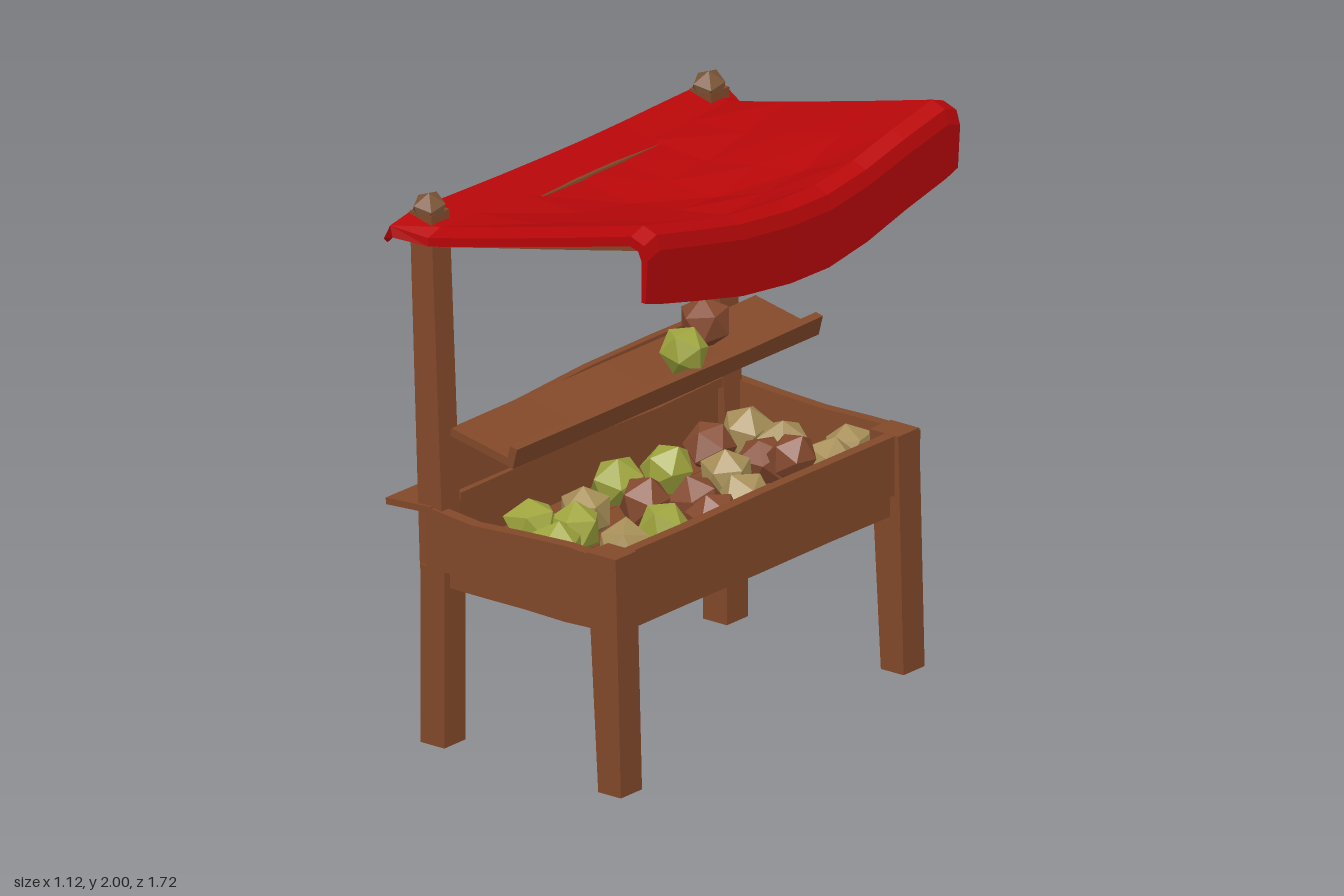
import * as THREE from 'three';

const material = (name, color) => {
  const m = new THREE.MeshStandardMaterial({ color, flatShading: true });
  m.name = name;
  return m;
};

// Repeatable noise in -1..1 so matching corners move together
const noise = (a, b, c) => {
  const s = Math.sin(a * 12.99 + b * 78.23 + c * 37.72) * 43758.55;
  return 2 * (s - Math.floor(s)) - 1;
};

export function createModel() {
  const group = new THREE.Group();
  const wood = material('wood', 0x83492a);
  const knobWood = material('knobWood', 0x7c5537);
  const cloth = material('redCloth', 0xb80709);
  const green = material('greenProduce', 0x9fa53e);
  const tan = material('tanProduce', 0xa68e57);
  const brown = material('brownProduce', 0x854a2f);

  const add = (name, geometry, mat, pos = [0, 0, 0], rot = [0, 0, 0]) => {
    const mesh = new THREE.Mesh(geometry, mat);
    mesh.name = name;
    mesh.position.set(...pos);
    mesh.rotation.set(...rot);
    group.add(mesh);
    return mesh;
  };

  // Hand-cut board: a box whose height wavers along its length
  const board = (name, size, pos, rot = [0, 0, 0], rough = 0.008) => {
    const segs = size.map((s) => (s > 0.6 ? 4 : 1));
    const geo = new THREE.BoxGeometry(...size, ...segs);
    const p = geo.attributes.position;
    for (let i = 0; i < p.count; i++) {
      const x = p.getX(i), y = p.getY(i), z = p.getZ(i);
      const along = size[0] > size[2] ? x : z;
      p.setY(i, y + rough * noise(Math.round(along * 20), Math.sign(y), pos[2]));
    }
    geo.computeVertexNormals();
    return add(name, geo, wood, pos, rot);
  };

  // Tapered post between two points, with upright ends
  const post = (name, a, b, wa, wb, depth) => {
    const geo = new THREE.BoxGeometry(1, 1, 1);
    const p = geo.attributes.position;
    for (let i = 0; i < p.count; i++) {
      const top = p.getY(i) > 0;
      const c = top ? b : a, w = top ? wb : wa;
      p.setXYZ(i, c[0] + p.getX(i) * w, c[1], c[2] + p.getZ(i) * depth);
    }
    geo.computeVertexNormals();
    return add(name, geo, wood);
  };

  // Rough faceted lump used for produce and knobs
  const lump = (name, mat, r, pos, seed) => {
    const geo = new THREE.IcosahedronGeometry(r, 0);
    const p = geo.attributes.position;
    for (let i = 0; i < p.count; i++) {
      const k = [p.getX(i), p.getY(i), p.getZ(i)].map((v) => Math.round((v / r) * 50));
      const s = 1 + 0.1 * noise(k[0] + seed, k[1], k[2]);
      p.setXYZ(i, p.getX(i) * s, p.getY(i) * s, p.getZ(i) * s);
    }
    geo.computeVertexNormals();
    return add(name, geo, mat, pos, [seed * 1.3, seed * 0.7, seed * 2.1]);
  };

  // Legs, tall posts and their knobs
  for (const [z, top] of [[0.725, 0.71], [-0.745, -0.745]]) {
    post('frontLeg', [0.38, 0, z], [0.345, 0.825, z], 0.095, 0.12, 0.11);
    post('backLeg', [-0.362, 0, z], [-0.362, 0.62, z], 0.1, 0.1, 0.11);
    post('tallPost', [-0.37, 0.6, z], [-0.43, 1.83, top], 0.1, 0.09, 0.095);
    lump('postKnob', knobWood, 0.06, [-0.435, 1.835, top], 3);
  }

  // Produce box: walls, lower rails and floor
  board('frontWall', [0.04, 0.2, 1.56], [0.37, 0.72, -0.015]);
  board('backWall', [0.04, 0.22, 1.5], [-0.375, 0.73, -0.015]);
  for (const x of [0.345, -0.355]) {
    board('longRail', [0.05, 0.08, 1.46], [x, 0.58, -0.01], [0, 0, 0], 0.003);
  }
  for (const [z, lean] of [[0.757, 0], [-0.797, -0.07]]) {
    board('endWall', [0.78, 0.195, 0.045], [0, 0.715, z], [lean, 0, 0], 0.013);
    board('endRail', [0.68, 0.07, 0.05], [0, 0.585, z * 0.96], [0, 0, 0], 0.004);
  }
  for (let i = 0; i < 4; i++) {
    board('floorPlank', [0.172, 0.055, 1.5], [-0.262 + i * 0.175, 0.635, -0.015], [0, 0, 0], 0.004);
  }

  // Rear ledge plank with a narrow strip on its inner edge
  board('rearLedge', [0.19, 0.022, 1.6], [-0.462, 0.808, -0.02], [0, 0, 0.06], 0.005);
  board('rearLedgeStrip', [0.08, 0.03, 1.36], [-0.375, 0.838, -0.015], [0, 0, 0], 0.006);

  // Tilted shelf with a lip and backboard
  board('shelf', [0.27, 0.025, 1.58], [-0.2, 1.055, -0.07], [0, 0, -0.2], 0.004);
  board('shelfLip', [0.03, 0.07, 1.59], [-0.075, 1.055, -0.07], [0, 0, -0.25], 0.004);
  board('shelfBack', [0.03, 0.21, 1.4], [-0.355, 0.978, -0.02], [0.012, 0, 0.06], 0.01);

  // Canopy frame
  const slope = Math.atan2(0.2, 0.9);
  for (const z of [0.72, -0.735]) {
    board('canopySideRail', [0.9, 0.04, 0.085], [0.075, 1.846, z], [0, 0, slope], 0.002);
  }
  board('canopyBackRail', [0.08, 0.045, 1.4], [-0.35, 1.745, -0.02], [0, 0, 0.2], 0.003);

  // Canopy: closed profile of [x, height, sag], lofted along z
  const outer = [[-0.545, 1.75, 0], [-0.48, 1.825, 0.015], [-0.36, 1.795, 0.02],
    [-0.12, 1.85, 0.11], [0.08, 1.898, 0.15], [0.28, 1.947, 0.15],
    [0.49, 2, 0.12], [0.545, 1.98, 0.12], [0.56, 1.93, 0.12], [0.551, 1.74, 0.132]];
  const inner = [[0.534, 1.74, 0.132], [0.535, 1.92, 0.12], [0.52, 1.955, 0.12],
    [0.485, 1.965, 0.12], [0.28, 1.915, 0.15], [0.08, 1.868, 0.15],
    [-0.12, 1.82, 0.11], [-0.36, 1.765, 0.02], [-0.47, 1.785, 0.015], [-0.53, 1.74, 0]];
  const profile = [...outer, ...inner];
  const stations = [[-0.82, 0, 0.02], [-0.76, 0, 0], [-0.55, 0.36, 0], [-0.35, 0.76, 0],
    [-0.15, 1, 0], [0.05, 0.98, 0], [0.3, 0.76, 0], [0.55, 0.34, 0], [0.74, 0, 0], [0.805, 0, 0.02]];
  const verts = [], index = [], n = profile.length;
  for (const [z, sag, drop] of stations) {
    for (const [x, y, depth] of profile) {
      const flare = drop && x < -0.45 && x > -0.5 ? 1.06 : 1; // pointed rear corners
      const crease = x > -0.3 && x < 0.4 && sag ? 0.014 * noise(Math.round(x * 50), z, 1) : 0;
      const hem = x > 0.53 && y < 1.8 ? -drop : drop;
      verts.push(x, y - sag * depth - hem + crease, z * flare);
    }
  }
  for (let s = 0; s < stations.length - 1; s++) {
    for (let i = 0; i < n; i++) {
      const a = s * n + i, b = s * n + ((i + 1) % n);
      index.push(a, a + n, b, b, a + n, b + n);
    }
  }
  // End caps: strips joining the outer and inner cloth faces
  const last = (stations.length - 1) * n;
  for (let i = 0; i < outer.length - 1; i++) {
    const a = i, b = i + 1, c = n - 2 - i, d = n - 1 - i;
    index.push(a, b, c, a, c, d);
    index.push(last + a, last + c, last + b, last + a, last + d, last + c);
  }
  const canopy = new THREE.BufferGeometry();
  canopy.setAttribute('position', new THREE.Float32BufferAttribute(verts, 3));
  canopy.setIndex(index);
  canopy.computeVertexNormals();
  add('canopy', canopy, cloth);

  // Produce spread in the box: [x, z] for each kind
  const heaps = [
    ['greenProduce', green, [[-0.16, 0.51], [0.02, 0.61], [-0.21, 0.01], [0.18, 0.25], [-0.15, -0.18], [-0.04, 0.44]]],
    ['tanProduce', tan, [[-0.1, 0.3], [0.19, 0.47], [0.03, -0.27], [-0.18, -0.62], [0, -0.6],
      [0.21, -0.14], [0.24, -0.55], [0.2, -0.69]]],
    ['brownProduce', brown, [[0, 0.12], [0.12, 0], [-0.175, -0.43], [0.05, -0.43], [0.25, 0.08]]],
  ];
  let seed = 1;
  for (const [name, mat, spots] of heaps) {
    for (const [x, z] of spots) {
      lump(name, mat, 0.094, [x, 0.733 + 0.006 * noise(x, z, 5), z], seed++);
    }
  }
  lump('raisedProduce', brown, 0.088, [0.18, 0.782, -0.42], 5);

  // Produce on the shelf
  lump('shelfGreenProduce', green, 0.088, [-0.13, 1.135, -0.24], 4);
  lump('shelfBrownProduce', brown, 0.092, [-0.22, 1.145, -0.47], 7);

  return group;
}
